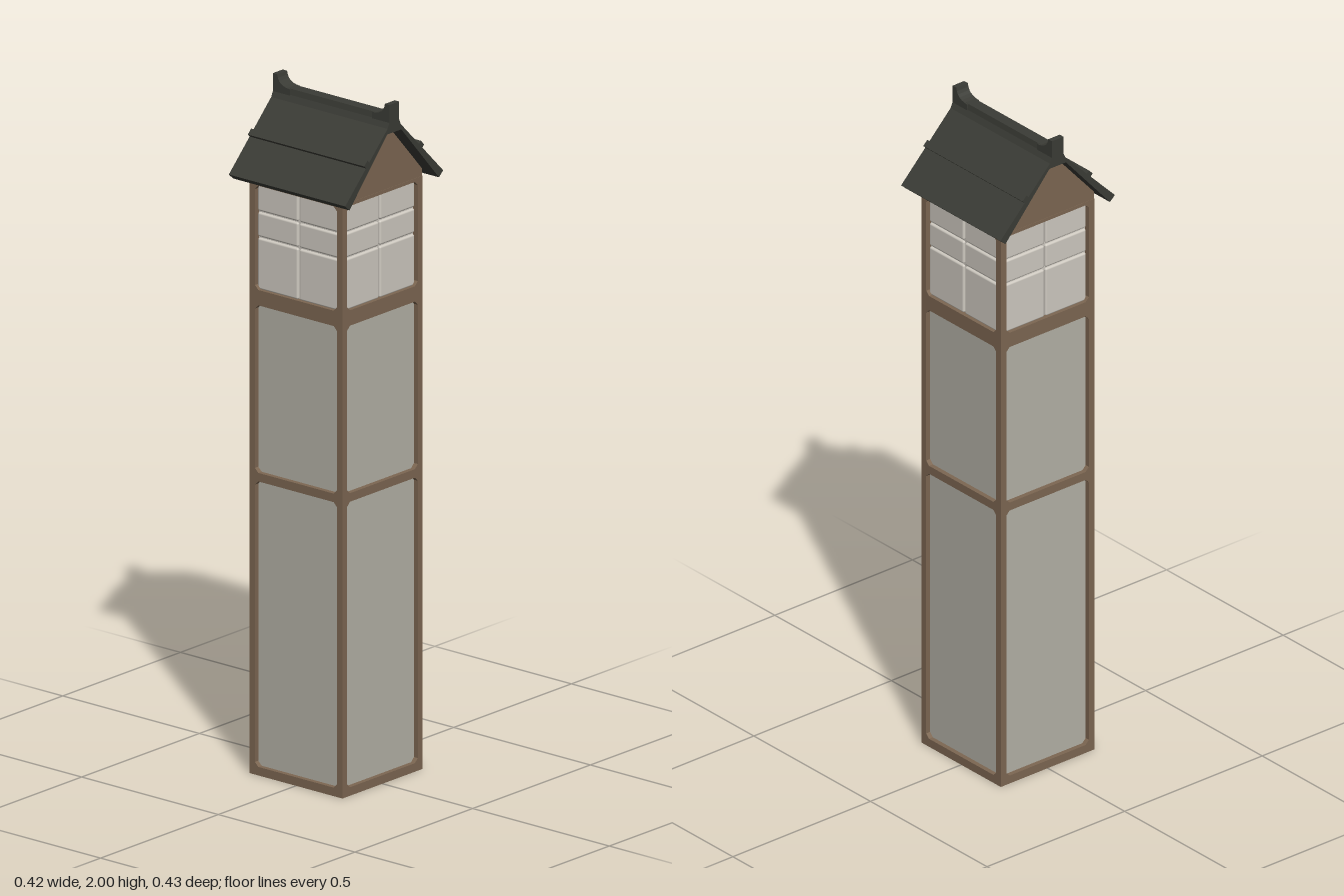
import * as THREE from 'three';
import { RoundedBoxGeometry } from 'three/addons/geometries/RoundedBoxGeometry.js';

const material = (name, color) => {
  const m = new THREE.MeshStandardMaterial({ color });
  m.name = name;
  return m;
};

// Polygon outline with straight sides
const polygon = (points) => new THREE.Shape(points.map(([x, y]) => new THREE.Vector2(x, y)));

// Extrusion centred on its depth axis
function prism(shape, depth) {
  const g = new THREE.ExtrudeGeometry(shape, { depth, bevelEnabled: false, curveSegments: 6 });
  return g.translate(0, 0, -depth / 2);
}

// Mirrors a right-hand profile (listed top to bottom) across x = 0
const mirrored = (half) => [...half, ...half.slice().reverse().map(([x, y]) => [-x, y])];

export function createModel() {
  const wood = material('wood', 0x7d6752);
  const plaster = material('plaster', 0xb4b1a6);
  const paper = material('window paper', 0xcfcac1);
  const tile = material('roof tile', 0x3b3c36);

  const model = new THREE.Group();
  model.name = 'tower';
  const add = (parent, name, geometry, mat, x = 0, y = 0, z = 0) => {
    const mesh = new THREE.Mesh(geometry, mat);
    mesh.name = name;
    mesh.position.set(x, y, z);
    parent.add(mesh);
    return mesh;
  };

  const W = 0.17, TOP = 1.735, INNER = 0.15, CUT = 0.012;
  const openings = [[0.025, 0.86], [0.885, 1.375], [1.42, 1.725]];

  // Timber frame outline with corner-braced openings
  const frameShape = polygon([[-W, 0], [W, 0], [W, TOP], [-W, TOP]]);
  for (const [a, b] of openings) {
    frameShape.holes.push(polygon([
      [-INNER + CUT, a], [-INNER, a + CUT], [-INNER, b - CUT], [-INNER + CUT, b],
      [INNER - CUT, b], [INNER, b - CUT], [INNER, a + CUT], [INNER - CUT, a],
    ]));
  }
  const frameGeometry = prism(frameShape, 0.018);

  // Window panes: two columns, three rows
  const rows = [[1.418, 1.568], [1.572, 1.643], [1.647, 1.728]];

  // Four identical walls
  for (let i = 0; i < 4; i++) {
    const wall = new THREE.Group();
    wall.name = ['front', 'left', 'back', 'right'][i] + 'Wall';
    wall.rotation.y = (i * Math.PI) / 2;
    model.add(wall);
    add(wall, 'timberFrame', frameGeometry, wood, 0, 0, W - 0.009);
    for (const side of [-1, 1]) {
      for (const [a, b] of rows) {
        add(wall, 'windowPane', new RoundedBoxGeometry(0.148, b - a, 0.016, 2, 0.006),
          paper, side * 0.076, (a + b) / 2, W - 0.018);
      }
    }
  }

  // Plaster core behind the lower openings, paper core behind the windows
  add(model, 'plasterCore', new THREE.BoxGeometry(0.312, 1.38, 0.312), plaster, 0, 0.71, 0);
  add(model, 'windowCore', new THREE.BoxGeometry(0.306, 0.32, 0.306), paper, 0, 1.57, 0);
  add(model, 'baseBoard', new THREE.BoxGeometry(0.338, 0.018, 0.338), wood, 0, 0.0095, 0);

  // Gable block filling the roof
  add(model, 'gable', prism(polygon(mirrored([[0.025, 1.918], [0.169, 1.757], [0.169, 1.728]])), 0.338), wood);

  // Pitched roof with flared ridge
  const roofHalf = [[0.017, 1.967], [0.02, 1.95], [0.028, 1.932], [0.042, 1.918], [0.208, 1.751], [0.19, 1.735]];
  const underside = [[-0.19, 1.735], [-0.03, 1.916], [0.03, 1.916], [0.19, 1.735]];
  const roofOutline = [
    ...roofHalf.slice(0, 5),
    ...underside.slice().reverse(),
    ...roofHalf.slice(0, 5).reverse().map(([x, y]) => [-x, y]),
  ];
  add(model, 'roof', prism(polygon(roofOutline), 0.426), tile);

  // Batten along each slope
  for (const side of [-1, 1]) {
    const batten = add(model, 'roofBatten', new THREE.BoxGeometry(0.02, 0.018, 0.426), tile, side * 0.114, 1.848, 0);
    batten.rotation.z = -side * Math.PI / 4;
  }

  // Upturned ridge ends
  const horn = new THREE.Shape();
  horn.moveTo(0.15, 1.94);
  horn.lineTo(0.213, 1.94);
  horn.lineTo(0.213, 2);
  horn.lineTo(0.197, 2);
  horn.quadraticCurveTo(0.193, 1.967, 0.15, 1.966);
  const hornGeometry = prism(horn, 0.042);
  for (const side of [-1, 1]) {
    add(model, 'ridgeEnd', hornGeometry, tile).rotation.y = -side * Math.PI / 2;
  }

  return model;
}
